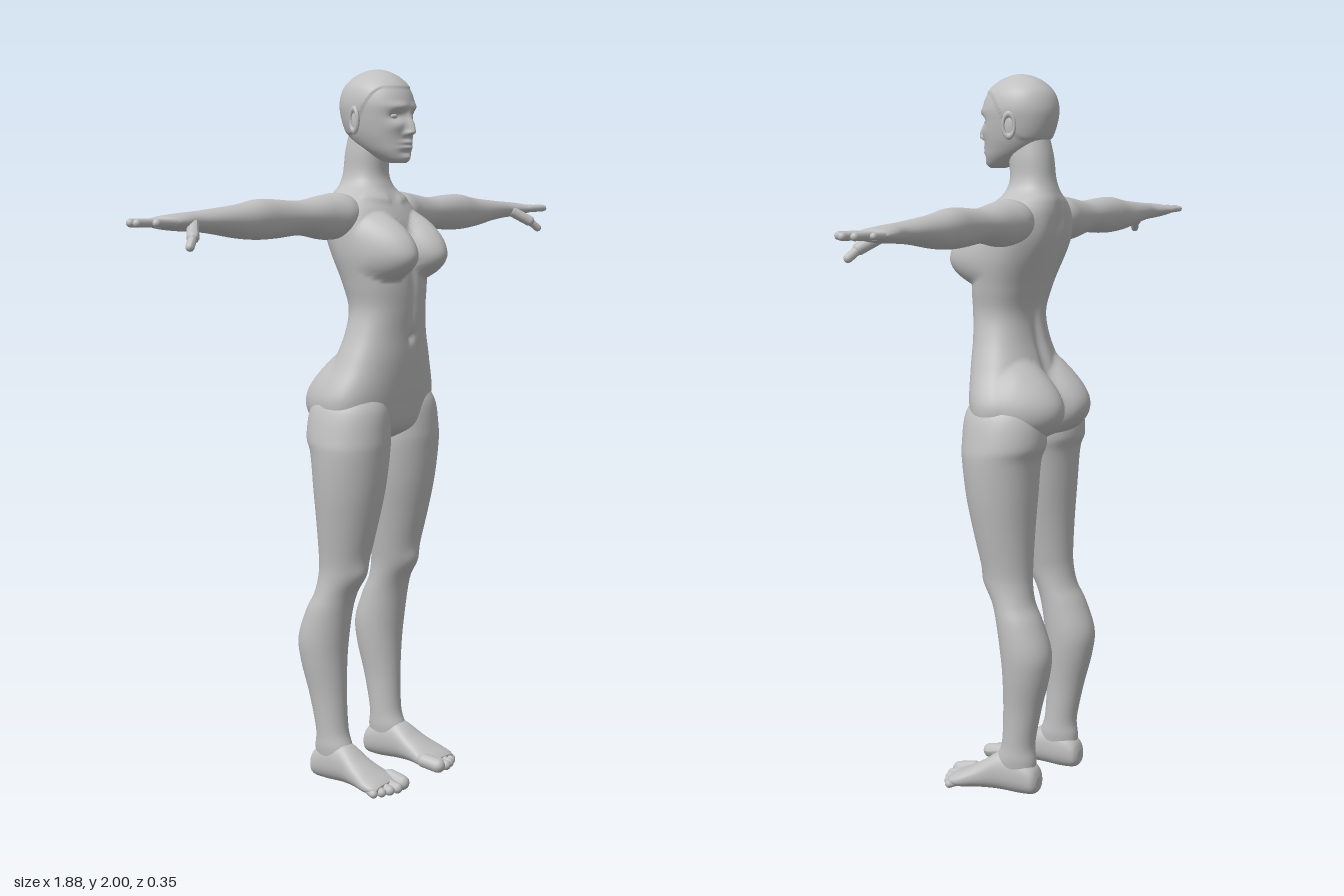
import * as THREE from 'three';

const skin = new THREE.MeshStandardMaterial({ color: 0xc0c0c0 });
skin.name = 'plain grey';

const smooth = THREE.MathUtils.smoothstep;
const gauss = (d, w) => Math.exp(-(d * d) / (w * w));

// Smooth blend of neighbouring cross-sections
function blend(rows, i, f) {
  const at = k => rows[Math.min(Math.max(k, 0), rows.length - 1)];
  const [a, b, c, d] = [at(i - 1), at(i), at(i + 1), at(i + 2)];
  return b.map((_, k) => b[k] + 0.5 * f * (c[k] - a[k]
    + f * (2 * a[k] - 5 * b[k] + 4 * c[k] - d[k] + f * (3 * (b[k] - c[k]) + d[k] - a[k]))));
}

// Closed loft along y. Each row: [y, centre x, half width, front z, back z]
function loft(rows, { sides = 40, steps = 6, power = 2, rule } = {}) {
  if (rows[0][0] > rows[rows.length - 1][0]) rows = [...rows].reverse();
  const rings = [];
  for (let i = 0; i < rows.length - 1; i++)
    for (let s = 0; s < steps; s++) rings.push(blend(rows, i, s / steps));
  rings.push(rows[rows.length - 1]);
  const pos = [], idx = [], v = new THREE.Vector3();
  const bend = n => Math.sign(n) * Math.abs(n) ** (2 / power);
  const add = (x, y, z) => {
    v.set(x, y, z);
    if (rule) rule(v);
    pos.push(v.x, v.y, v.z);
  };
  for (const [y, cx, rx, zf, zb] of rings)
    for (let j = 0; j < sides; j++) {
      const t = (j / sides) * Math.PI * 2;
      add(cx + rx * bend(Math.cos(t)), y, (zf + zb) / 2 + (zf - zb) / 2 * bend(Math.sin(t)));
    }
  const last = rings.length - 1, low = rings.length * sides, high = low + 1;
  for (const r of [rings[0], rings[last]]) add(r[1], r[0], (r[3] + r[4]) / 2);
  for (let j = 0; j < sides; j++) {
    const k = (j + 1) % sides;
    idx.push(low, j, k, high, last * sides + k, last * sides + j);
    for (let i = 0; i < last; i++) {
      const a = i * sides + j, b = i * sides + k;
      idx.push(a, a + sides, b, b, a + sides, b + sides);
    }
  }
  const geo = new THREE.BufferGeometry();
  geo.setAttribute('position', new THREE.Float32BufferAttribute(pos, 3));
  geo.setIndex(idx);
  geo.computeVertexNormals();
  return geo;
}

// Rounded digit between two points
function digit(from, to, radius) {
  const a = new THREE.Vector3(...from), b = new THREE.Vector3(...to);
  const dir = b.clone().sub(a), len = dir.length();
  const geo = new THREE.CapsuleGeometry(radius, len, 6, 12);
  geo.applyQuaternion(new THREE.Quaternion().setFromUnitVectors(new THREE.Vector3(0, 1, 0), dir.normalize()));
  const m = a.add(b).multiplyScalar(0.5);
  return geo.translate(m.x, m.y, m.z);
}

function ellipsoid(x, y, z, rx, ry, rz) {
  return new THREE.SphereGeometry(1, 24, 16).scale(rx, ry, rz).translate(x, y, z);
}

// Mirror across x = 0, keeping faces outward
function mirrored(geo) {
  const g = geo.clone().scale(-1, 1, 1), ix = g.index;
  for (let i = 0; i < ix.count; i += 3) {
    const t = ix.getX(i);
    ix.setX(i, ix.getX(i + 1));
    ix.setX(i + 1, t);
  }
  g.computeVertexNormals();
  return g;
}

// Dome-shaped swelling centred at (cx, cy), with separate upper and lower reach
function dome(v, cx, cy, rx, up, down) {
  const dx = (Math.abs(v.x) - cx) / rx, dy = (v.y - cy) / (v.y > cy ? up : down);
  return Math.max(0, 1 - dx * dx - dy * dy) ** 0.9;
}

// Bust, buttocks, spine groove, navel and collarbones
function shapeTorso(v) {
  const { x, y, z } = v;
  if (z > 0.01) {
    v.z += smooth(z, 0.01, 0.05) * 0.077 * dome(v, 0.083, 1.505, 0.078, 0.11, 0.075);
    v.z -= 0.012 * gauss(x, 0.012) * gauss(y - 1.27, 0.014);
    v.z -= 0.006 * gauss(x, 0.015) * smooth(y, 1.28, 1.35) * (1 - smooth(y, 1.5, 1.6));
    v.z += 0.006 * gauss(y - 1.645 - Math.abs(x) * 0.12, 0.012) * smooth(Math.abs(x), 0.01, 0.03);
  } else if (z < -0.02) {
    const back = smooth(-z, 0.02, 0.06);
    v.z -= back * 0.06 * dome(v, 0.097, 1.085, 0.105, 0.14, 0.1);
    v.z += back * 0.014 * gauss(x, 0.02) * smooth(y, 1.0, 1.1) * (1 - smooth(y, 1.58, 1.68));
    v.z -= back * 0.01 * gauss(Math.abs(x) - 0.085, 0.04) * gauss(y - 1.55, 0.07);
  }
}

// Brow, eye sockets, nose, lips, chin and the raised hair cap
function shapeHead(v) {
  const { x, y, z } = v, ax = Math.abs(x);
  const line = 1.825 + 0.125 * smooth(z, -0.05, 0.06);
  const cap = smooth(y, line - 0.003, line + 0.003) * 0.035;
  v.x *= 1 + cap;
  v.z *= 1 + cap;
  if (z < 0.03) return;
  const f = smooth(z, 0.03, 0.06);
  v.z += f * (
    -0.014 * gauss(ax - 0.036, 0.02) * gauss(y - 1.872, 0.014)
    + 0.006 * gauss(ax - 0.035, 0.028) * gauss(y - 1.898, 0.01)
    + 0.005 * gauss(ax - 0.045, 0.02) * gauss(y - 1.845, 0.018)
    + 0.024 * gauss(x, 0.011) * smooth(y, 1.818, 1.83) * (1 - smooth(y, 1.832, 1.895))
    + 0.008 * gauss(ax - 0.012, 0.008) * gauss(y - 1.826, 0.007)
    + 0.009 * gauss(x, 0.022) * (gauss(y - 1.802, 0.006) + gauss(y - 1.788, 0.006))
    - 0.004 * gauss(x, 0.025) * gauss(y - 1.775, 0.008)
    + 0.006 * gauss(x, 0.02) * gauss(y - 1.76, 0.01));
}

export function createModel() {
  const model = new THREE.Group();
  model.name = 'figure';
  const add = (name, geo) => {
    const mesh = new THREE.Mesh(geo, skin);
    mesh.name = name;
    model.add(mesh);
  };
  const pair = (name, geo) => {
    add('left' + name, geo);
    add('right' + name, mirrored(geo));
  };

  // Torso and neck
  add('torso', loft([
    [0.985, 0, 0.07, 0.04, -0.05], [1.02, 0, 0.18, 0.085, -0.105], [1.1, 0, 0.212, 0.1, -0.122],
    [1.2, 0, 0.171, 0.11, -0.09], [1.28, 0, 0.14, 0.112, -0.066], [1.35, 0, 0.126, 0.117, -0.06],
    [1.42, 0, 0.138, 0.118, -0.078], [1.5, 0, 0.155, 0.108, -0.105], [1.57, 0, 0.158, 0.09, -0.125],
    [1.62, 0, 0.148, 0.068, -0.13], [1.655, 0, 0.118, 0.045, -0.126], [1.685, 0, 0.076, 0.028, -0.116],
    [1.72, 0, 0.06, 0.018, -0.107], [1.78, 0, 0.057, 0.022, -0.1], [1.84, 0, 0.05, 0.02, -0.085],
  ], { sides: 112, steps: 9, power: 2.25, rule: shapeTorso }));

  // Head
  add('head', loft([
    [1.746, 0, 0.016, 0.086, 0.045], [1.754, 0, 0.034, 0.093, 0.015], [1.775, 0, 0.053, 0.098, -0.03],
    [1.8, 0, 0.067, 0.098, -0.068], [1.83, 0, 0.078, 0.099, -0.092], [1.87, 0, 0.086, 0.101, -0.106],
    [1.91, 0, 0.089, 0.101, -0.11], [1.95, 0, 0.079, 0.085, -0.098], [1.98, 0, 0.053, 0.055, -0.069],
    [1.995, 0, 0.026, 0.024, -0.037], [2.0, 0, 0.006, 0.002, -0.012],
  ], { sides: 112, steps: 10, power: 2.1, rule: shapeHead }));
  pair('Eye', ellipsoid(0.036, 1.872, 0.074, 0.015, 0.008, 0.011));

  // Ears: rim and inner bowl
  const rim = new THREE.TorusGeometry(0.02, 0.006, 8, 24).scale(0.8, 1.5, 1);
  pair('EarRim', rim.rotateY(Math.PI / 2 + 0.3).translate(0.091, 1.862, -0.018));
  pair('EarBowl', ellipsoid(0.087, 1.86, -0.016, 0.005, 0.027, 0.014));

  // Arms, listed as [x, height, half thickness, front z, back z]
  const arm = [
    [0.06, 1.6, 0.045, 0, -0.09], [0.13, 1.605, 0.061, 0.028, -0.112], [0.2, 1.601, 0.06, 0.018, -0.108],
    [0.3, 1.602, 0.046, 0.008, -0.1], [0.4, 1.602, 0.051, 0.002, -0.1], [0.47, 1.602, 0.052, 0, -0.102],
    [0.55, 1.599, 0.043, -0.005, -0.1], [0.65, 1.602, 0.031, -0.012, -0.094], [0.72, 1.603, 0.025, -0.018, -0.086],
    [0.77, 1.603, 0.022, -0.012, -0.095], [0.82, 1.603, 0.017, -0.006, -0.102], [0.845, 1.603, 0.011, -0.01, -0.099],
  ].map(([x, y, r, f, b]) => [x, -y, r, f, b]);
  pair('Arm', loft(arm).rotateZ(-Math.PI / 2));

  // Fingers: base z, tip x, tip z
  [[-0.016, 0.895, -0.006], [-0.041, 0.929, -0.038], [-0.066, 0.921, -0.068], [-0.09, 0.884, -0.096]]
    .forEach(([z, tipX, tipZ], i) =>
      pair('Finger' + (i + 1), digit([0.82, 1.603, z], [tipX, 1.605, tipZ], i === 3 ? 0.009 : 0.0105)));
  pair('ThumbBase', digit([0.745, 1.596, -0.026], [0.785, 1.568, 0.01], 0.016));
  pair('ThumbTip', digit([0.785, 1.568, 0.01], [0.812, 1.546, 0.024], 0.0115));

  // Legs
  pair('Leg', loft([
    [1.14, 0.1, 0.07, 0.06, -0.09], [1.08, 0.112, 0.1, 0.094, -0.13], [1.0, 0.118, 0.114, 0.1, -0.137],
    [0.95, 0.12, 0.115, 0.097, -0.12], [0.85, 0.121, 0.105, 0.085, -0.112], [0.75, 0.122, 0.088, 0.065, -0.106],
    [0.65, 0.123, 0.07, 0.041, -0.103], [0.6, 0.126, 0.064, 0.028, -0.105], [0.55, 0.13, 0.064, 0.004, -0.115],
    [0.5, 0.134, 0.068, -0.01, -0.14], [0.42, 0.135, 0.07, -0.022, -0.168], [0.35, 0.134, 0.064, -0.028, -0.163],
    [0.25, 0.132, 0.05, -0.028, -0.138], [0.15, 0.13, 0.044, -0.022, -0.118], [0.1, 0.13, 0.044, -0.005, -0.122],
    [0.05, 0.13, 0.036, 0, -0.12],
  ], {
    sides: 56,
    rule: v => { // kneecap
      if (v.z > -0.03) v.z += 0.01 * gauss(v.x - 0.125, 0.035) * gauss(v.y - 0.61, 0.035);
    },
  }));

  // Feet, listed as [z, centre x, half width, sole height, top height]
  const foot = [
    [-0.135, 0.129, 0.018, 0.022, 0.055], [-0.122, 0.129, 0.035, 0.007, 0.085], [-0.08, 0.129, 0.043, 0.003, 0.115],
    [-0.02, 0.132, 0.044, 0.005, 0.118], [0.04, 0.137, 0.054, 0.005, 0.08], [0.085, 0.139, 0.065, 0.002, 0.055],
    [0.115, 0.139, 0.064, 0.004, 0.041], [0.13, 0.137, 0.054, 0.008, 0.032],
  ].map(([z, x, r, sole, top]) => [z, x, r, -sole, -top]);
  pair('Foot', loft(foot, { power: 2.3 }).rotateX(Math.PI / 2));
  [[0.09, 0.166, 0.021], [0.122, 0.166, 0.015], [0.149, 0.158, 0.014], [0.173, 0.147, 0.013], [0.194, 0.133, 0.012]]
    .forEach(([x, tip, r], i) =>
      pair('Toe' + (i + 1), digit([x - 0.004, r + 0.009, 0.1], [x, r + 0.001, tip - r], r)));

  return model;
}
